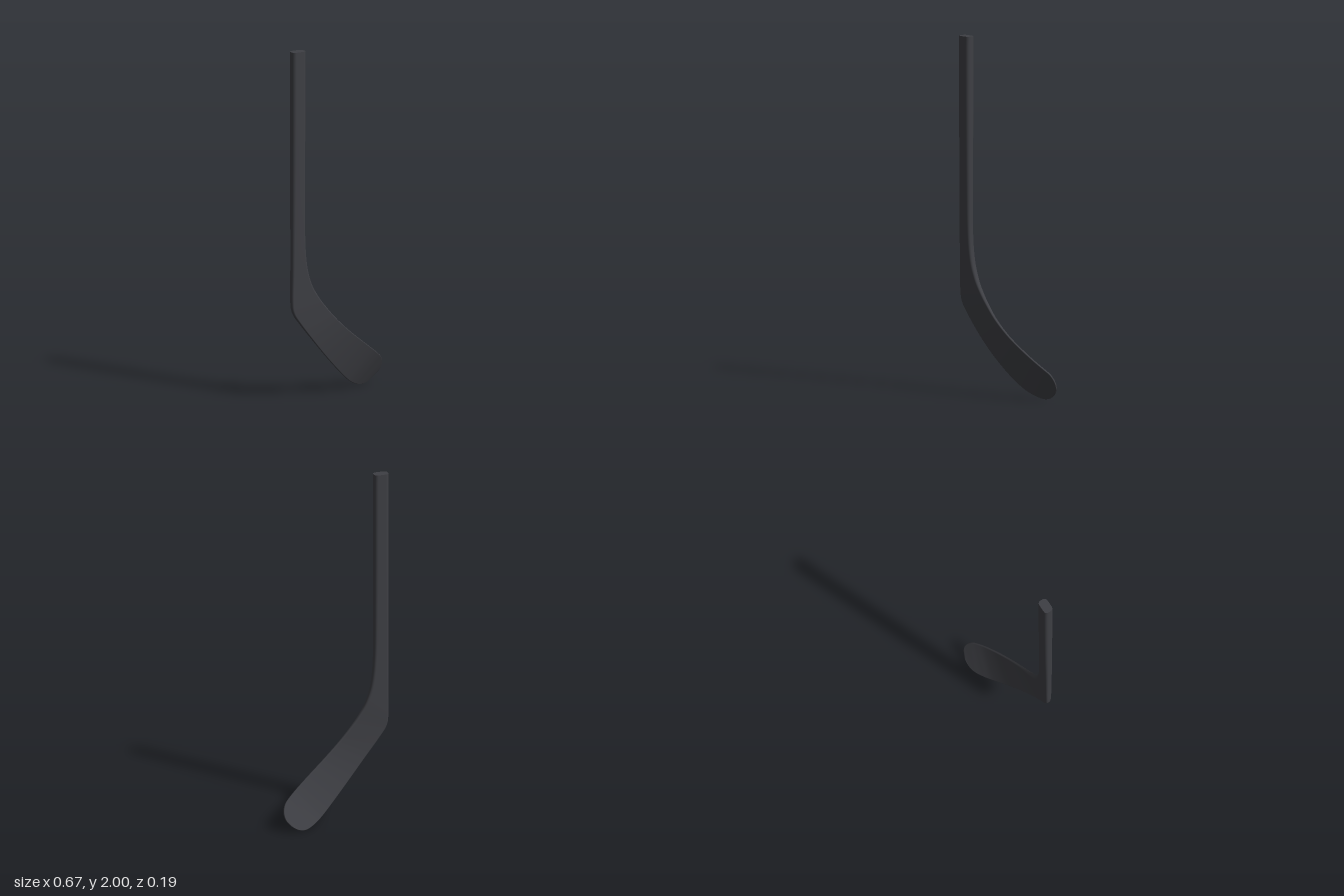
import * as THREE from 'three';

// Stations from the shaft top to the toe: outer edge, inner edge, thickness
const STATIONS = [
  [[-0.333, 2, 0.067], [-0.249, 2, 0.067], 0.054],
  [[-0.333, 1.6, 0.067], [-0.249, 1.6, 0.067], 0.053],
  [[-0.333, 1.2, 0.067], [-0.249, 1.2, 0.067], 0.048],
  [[-0.333, 0.92, 0.067], [-0.247, 0.92, 0.067], 0.042],
  [[-0.333, 0.72, 0.066], [-0.232, 0.76, 0.066], 0.038],
  [[-0.333, 0.57, 0.064], [-0.2, 0.655, 0.065], 0.033],
  [[-0.32, 0.5, 0.063], [-0.155, 0.578, 0.066], 0.027],
  [[-0.27, 0.43, 0.06], [-0.1, 0.508, 0.066], 0.022],
  [[-0.19, 0.335, 0.053], [-0.03, 0.432, 0.064], 0.017],
  [[-0.1, 0.235, 0.036], [0.06, 0.352, 0.052], 0.014],
  [[0, 0.135, 0.007], [0.15, 0.283, 0.031], 0.013],
  [[0.09, 0.057, -0.028], [0.23, 0.224, 0.006], 0.012],
  [[0.15, 0.021, -0.056], [0.285, 0.183, -0.017], 0.012],
  [[0.205, 0.003, -0.079], [0.318, 0.153, -0.036], 0.011],
  [[0.25, 0.008, -0.089], [0.333, 0.115, -0.055], 0.01],
  [[0.285, 0.027, -0.089], [0.329, 0.078, -0.071], 0.009],
  [[0.309, 0.048, -0.082], [0.311, 0.051, -0.081], 0.004],
];

const curve = (points) => new THREE.CatmullRomCurve3(points.map((p) => new THREE.Vector3(...p)), false, 'catmullrom');
const outer = curve(STATIONS.map((s) => s[0]));
const inner = curve(STATIONS.map((s) => s[1]));
const thick = curve(STATIONS.map((s) => [s[2], 0, 0]));
const middle = (t) => outer.getPoint(t).lerp(inner.getPoint(t), 0.5);

// Outline of a rounded rectangle, as [across, through] pairs
function roundedRect(w, h, r, steps) {
  const pts = [];
  for (let c = 0; c < 4; c++) {
    const cx = (c === 0 || c === 3 ? 1 : -1) * (w / 2 - r);
    const cy = (c < 2 ? 1 : -1) * (h / 2 - r);
    for (let i = 0; i <= steps; i++) {
      const a = (c + i / steps) * Math.PI / 2;
      pts.push([cx + r * Math.cos(a), cy + r * Math.sin(a)]);
    }
  }
  return pts;
}

// Cross-section ring at t along the stick
function ring(t) {
  const a = outer.getPoint(t), b = inner.getPoint(t), mid = middle(t);
  const across = b.clone().sub(a);
  const w = across.length();
  across.normalize();
  const along = middle(Math.min(1, t + 0.004)).sub(middle(Math.max(0, t - 0.004)));
  const through = across.clone().cross(along).normalize();
  const h = thick.getPoint(t).x;
  const r = Math.min(h * 0.36, w * 0.45);
  return roundedRect(w, h, r, 5).map(([u, v]) =>
    mid.clone().addScaledVector(across, u).addScaledVector(through, v));
}

// Skin of the rings joined in order
function loft(rings) {
  const n = rings[0].length, index = [];
  for (let i = 0; i < rings.length - 1; i++) {
    for (let j = 0; j < n; j++) {
      const k = (j + 1) % n, a = i * n, b = a + n;
      index.push(a + j, b + j, a + k, b + j, b + k, a + k);
    }
  }
  const g = new THREE.BufferGeometry().setFromPoints(rings.flat());
  g.setIndex(index);
  g.computeVertexNormals();
  return g;
}

// Flat end over one ring
function cap(points) {
  const index = [];
  for (let j = 1; j < points.length - 1; j++) index.push(0, j, j + 1);
  const g = new THREE.BufferGeometry().setFromPoints(points);
  g.setIndex(index);
  g.computeVertexNormals();
  return g;
}

export function createModel() {
  const group = new THREE.Group();
  group.name = 'hockeyStick';
  const material = new THREE.MeshStandardMaterial({ color: 0x3e3f44 });
  const add = (name, geometry) => {
    const mesh = new THREE.Mesh(geometry, material);
    mesh.name = name;
    group.add(mesh);
  };

  const count = 128;
  const rings = Array.from({ length: count + 1 }, (_, i) => ring(i / count));
  add('shaftAndBlade', loft(rings));
  add('shaftEnd', cap(rings[0]));
  add('toeTip', cap([...rings[count]].reverse()));
  return group;
}
